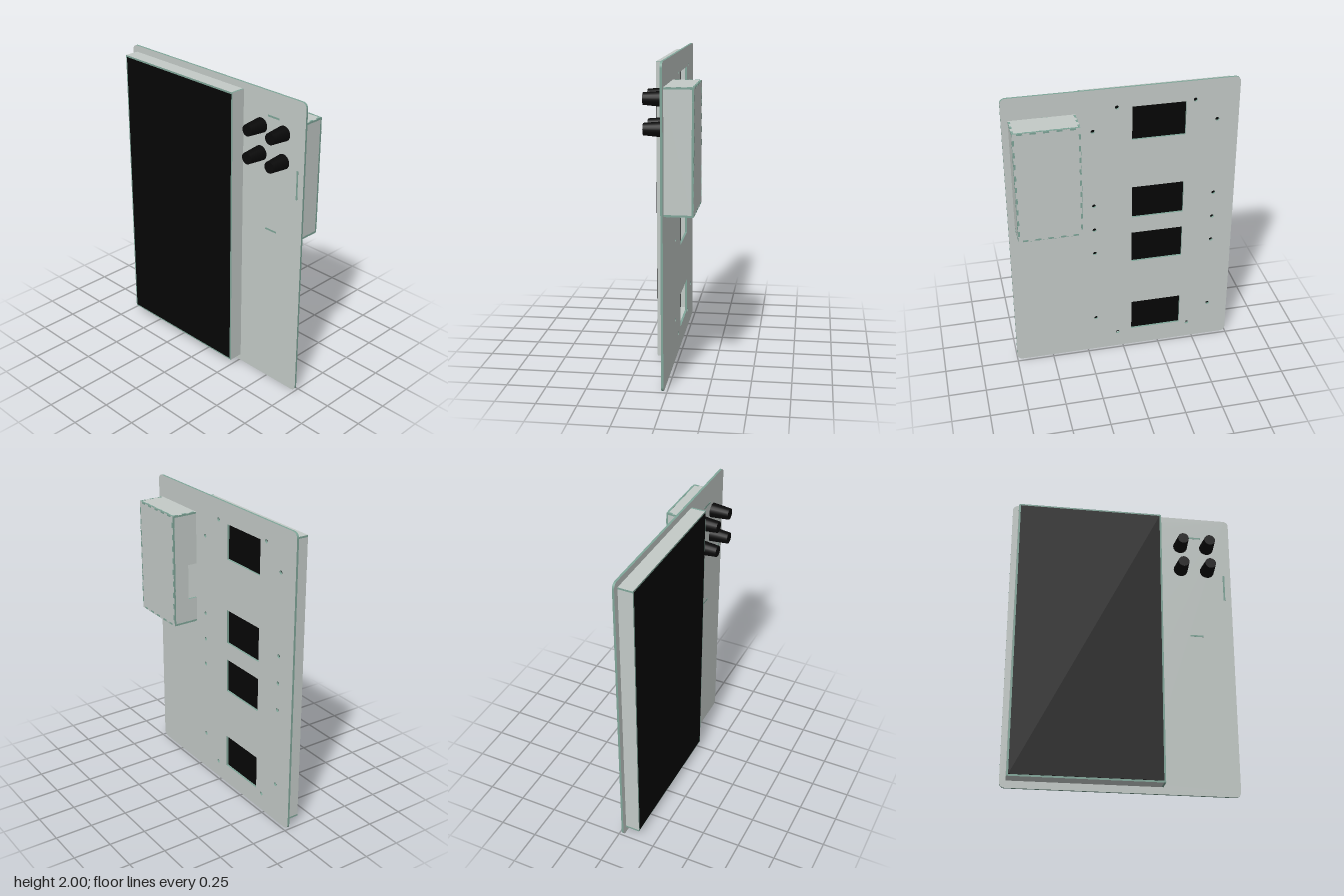
import * as THREE from 'three';
import { mergeGeometries } from 'three/addons/utils/BufferGeometryUtils.js';

const mat = (name, color) => {
  const m = new THREE.MeshStandardMaterial({ color });
  m.name = name;
  return m;
};

export function createModel() {
  const acrylic = mat('acrylic face', 0xc3cac7);
  const edge = mat('green cut edge', 0x7fa598);
  const black = mat('screen black', 0x050505);
  const knobBlack = mat('knob black', 0x090909);
  const T = 0.012; // sheet thickness
  const root = new THREE.Group();
  root.name = 'controlPanel';

  const add = (parent, name, geo, material, x, y, z) => {
    const m = new THREE.Mesh(geo, material);
    m.name = name;
    m.position.set(x, y, z);
    parent.add(m);
    return m;
  };
  const box = (parent, name, w, h, d, material, x, y, z) =>
    add(parent, name, new THREE.BoxGeometry(w, h, d), material, x, y, z);
  // Sheet cut from a shape: clear faces, green cut edges
  const sheet = (parent, name, shape, t, x, y, z) => {
    const g = new THREE.ExtrudeGeometry(shape, { depth: t, bevelEnabled: false, curveSegments: 8 });
    g.translate(0, 0, -t / 2);
    return add(parent, name, g, [acrylic, edge], x, y, z);
  };
  const poly = (pts) => new THREE.Shape(pts.map(([x, y]) => new THREE.Vector2(x, y)));
  const rect = (x0, x1, y0, y1) => poly([[x0, y0], [x1, y0], [x1, y1], [x0, y1]]);

  // Face plate with rounded corners
  const plate = new THREE.Shape();
  const r = 0.035, W = 0.75, H = 2;
  plate.moveTo(-W + r, 0);
  plate.lineTo(W - r, 0);
  plate.absarc(W - r, r, r, -Math.PI / 2, 0);
  plate.lineTo(W, H - r);
  plate.absarc(W - r, H - r, r, 0, Math.PI / 2);
  plate.lineTo(-W + r, H);
  plate.absarc(-W + r, H - r, r, Math.PI / 2, Math.PI);
  plate.lineTo(-W, r);
  plate.absarc(-W + r, r, r, Math.PI, Math.PI * 1.5);

  // Connector windows and screw holes
  for (const y of [0.25, 0.825, 1.175, 1.75])
    plate.holes.push(rect(-0.405, -0.06, y - 0.115, y + 0.115));
  const screw = (x, y) => plate.holes.push(new THREE.Path().absarc(x, y, 0.013, 0, Math.PI * 2, true));
  for (const x of [0.19, -0.61]) for (const y of [0.27, 0.81, 0.995, 1.18, 1.72]) screw(x, y);
  for (const x of [0.037, -0.463]) for (const y of [0.12, 1.87]) screw(x, y);
  sheet(root, 'facePlate', plate, 0.014, 0, 1, 0.027).position.y = 0;

  // Display frame walls around the screen
  const display = new THREE.Group();
  display.name = 'display';
  root.add(display);
  const fx0 = -0.712, fx1 = 0.259, fy0 = 0.046, fy1 = 1.958, fz0 = 0.034, fz1 = 0.129;
  for (const [name, y] of [['frameTop', fy1 - T / 2], ['frameBottom', fy0 + T / 2]])
    sheet(display, name, rect(fx0, fx1 - T, fz0, fz1), T, 0, y, 0).rotation.x = Math.PI / 2;
  sheet(display, 'frameLeftSide', rect(fz0, fz1, fy0, fy1), T, fx1 - T / 2, 0, 0).rotation.y = -Math.PI / 2;
  sheet(display, 'frameRightSide', rect(fz0, fz1, fy0 + T, fy1 - T), T, fx0 + T / 2, 0, 0).rotation.y = -Math.PI / 2;
  box(display, 'screen', fx1 - fx0 - 2 * T, fy1 - fy0 - 2 * T, 0.032, black,
    (fx0 + fx1) / 2, (fy0 + fy1) / 2, 0.116);

  // Four tapered knobs
  const knobGeo = new THREE.CylinderGeometry(0.037, 0.048, 0.123, 20);
  knobGeo.rotateX(Math.PI / 2);
  for (const x of [0.405, 0.587]) for (const y of [1.59, 1.77])
    add(root, 'knob', knobGeo, knobBlack, x, y, 0.0955);

  // Rear housing of five sheets
  const housing = new THREE.Group();
  housing.name = 'rearHousing';
  root.add(housing);
  const lo = [0.296, 1.09, -0.157], hi = [0.708, 1.852, 0.02];
  const zb = lo[2] + T;
  sheet(housing, 'housingBack', rect(lo[0], hi[0], lo[1], hi[1]), T, 0, 0, lo[2] + T / 2);
  sheet(housing, 'housingTop', rect(lo[0], hi[0], zb, hi[2]), T, 0, hi[1] - T / 2, 0).rotation.x = Math.PI / 2;
  // Bottom with a small cable notch
  const bottom = poly([[lo[0], zb], [hi[0], zb], [hi[0], hi[2]], [0.64, hi[2]],
    [0.64, -0.035], [0.595, -0.035], [0.595, hi[2]], [lo[0], hi[2]]]);
  sheet(housing, 'housingBottom', bottom, T, 0, lo[1] + T / 2, 0).rotation.x = Math.PI / 2;
  const y0 = lo[1] + T, y1 = hi[1] - T;
  sheet(housing, 'housingLeftSide', rect(zb, hi[2], y0, y1), T, hi[0] - T / 2, 0, 0).rotation.y = -Math.PI / 2;
  // Inner side with a wide cable notch
  const inner = poly([[zb, y0], [hi[2], y0], [hi[2], 1.26], [-0.045, 1.26],
    [-0.045, 1.5], [hi[2], 1.5], [hi[2], y1], [zb, y1]]);
  sheet(housing, 'housingRightSide', inner, T, lo[0] + T / 2, 0, 0).rotation.y = -Math.PI / 2;

  // Tabs of the housing showing through the face plate
  box(housing, 'tabTop', 0.09, T, 0.016, edge, 0.503, hi[1] - T / 2, 0.027);
  box(housing, 'tabBottom', 0.09, T, 0.016, edge, 0.503, lo[1] + T / 2, 0.027);
  box(housing, 'tabSide', T, 0.19, 0.016, edge, hi[0] - T / 2, 1.47, 0.027);

  // Finger joints: fingers alternate between the two faces meeting at an edge
  const fingers = [];
  const joint = (axis, f0, s0, f1, s1) => {
    const cell = axis === 2 ? 0.031 : 0.04;
    const len = hi[axis] - lo[axis];
    const n = axis === 2 ? 5 : 2 * Math.floor(len / 0.08) - 1;
    for (let i = 0; i < n; i++) {
      const face = i % 2 ? f1 : f0;
      const size = [T, T, T], pos = [0, 0, 0];
      for (const [f, s] of [[f0, s0], [f1, s1]]) {
        const inset = f === face ? 0 : T / 2;
        pos[f] = s > 0 ? hi[f] - inset : lo[f] + inset;
      }
      size[axis] = cell * 0.9;
      size[face] = 0.003;
      pos[axis] = (lo[axis] + hi[axis]) / 2 + (i - (n - 1) / 2) * cell;
      fingers.push(new THREE.BoxGeometry(...size).translate(...pos));
    }
  };
  for (const s of [-1, 1]) {
    joint(0, 2, -1, 1, s);
    joint(1, 2, -1, 0, s);
    for (const t of [-1, 1]) joint(2, 1, s, 0, t);
  }
  add(housing, 'fingerJoints', mergeGeometries(fingers), edge, 0, 0, 0);

  return root;
}
